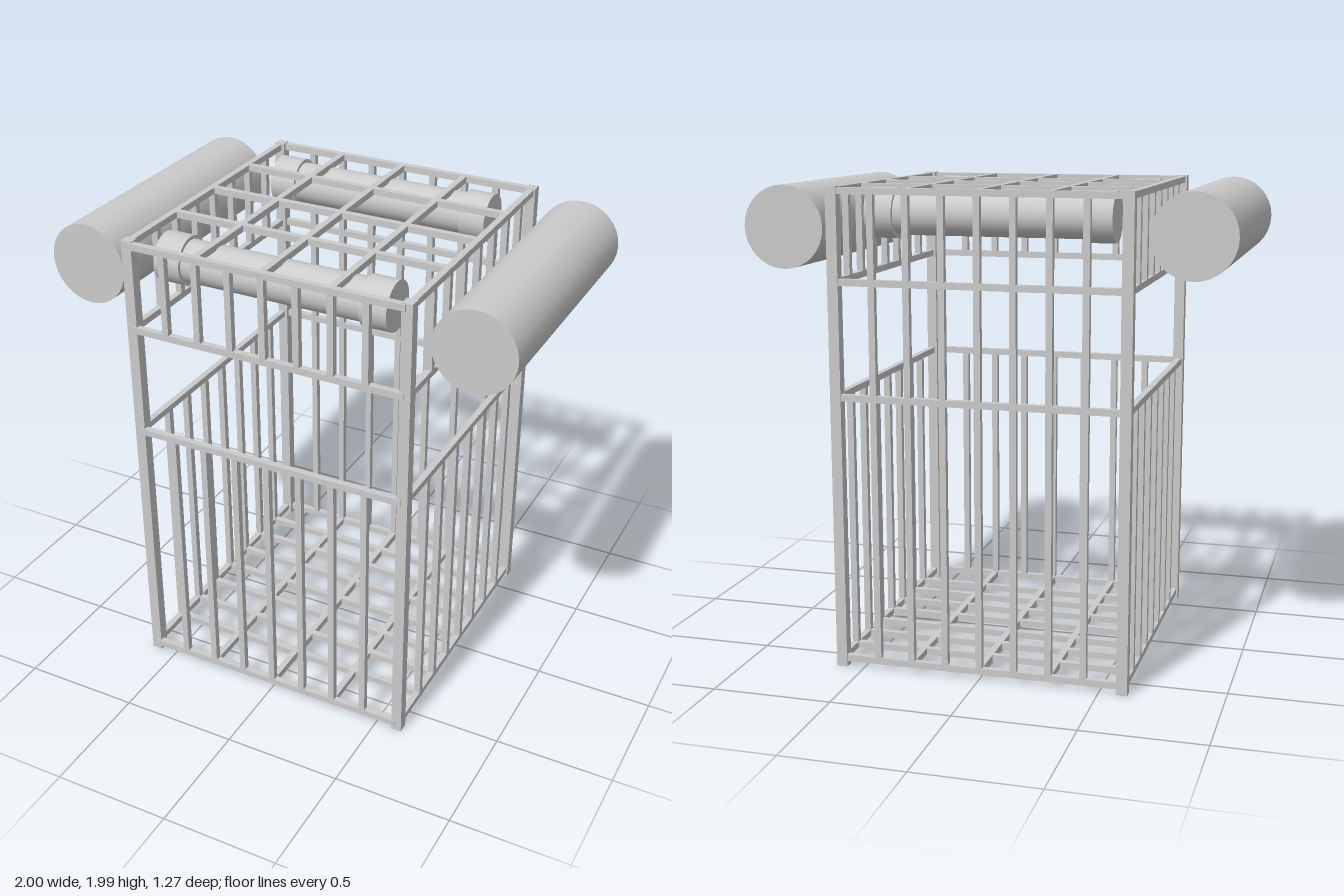
import * as THREE from 'three';

const material = new THREE.MeshStandardMaterial({ color: 0xcccccc });
const T = 0.027; // bar thickness
const LEVELS = [0.037, 1.145, 1.612, 1.973]; // heights of the horizontal rails
const SEVEN = [-3, -2, -1, 0, 1, 2, 3].map((i) => i * 0.145);
const THREE_BARS = [-0.29, 0, 0.29];
const Z_SHIFT = -0.024; // the side bars sit slightly towards the back

export function createModel() {
  const model = new THREE.Group();

  const group = (name) => {
    const g = new THREE.Group();
    g.name = name;
    model.add(g);
    return g;
  };
  const box = (parent, name, size, pos) => {
    const mesh = new THREE.Mesh(new THREE.BoxGeometry(...size), material);
    mesh.name = name;
    mesh.position.set(...pos);
    parent.add(mesh);
  };
  const cylinder = (parent, name, radius, length, pos, axis) => {
    const geometry = new THREE.CylinderGeometry(radius, radius, length, 32);
    if (axis === 'x') geometry.rotateZ(Math.PI / 2);
    else geometry.rotateX(Math.PI / 2);
    const mesh = new THREE.Mesh(geometry, material);
    mesh.name = name;
    mesh.position.set(...pos);
    parent.add(mesh);
  };
  // upright bar between two heights
  const upright = (parent, x, z, y0, y1) =>
    box(parent, 'uprightBar', [T, y1 - y0, T], [x, (y0 + y1) / 2, z]);

  // corner posts
  const posts = group('cornerPosts');
  for (const x of [-0.595, 0.595])
    for (const z of [-0.612, 0.606])
      box(posts, 'cornerPost', [0.045, 1.99, 0.045], [x, 0.995, z]);

  // front wall with a window, and closed back wall
  for (const [name, z, spans] of [
    ['frontWall', 0.621, [[0, 1], [2, 3]]],
    ['backWall', -0.617, [[0, 3]]],
  ]) {
    const wall = group(name);
    for (const y of LEVELS) box(wall, 'rail', [1.18, T, T], [0, y, z]);
    for (const x of SEVEN)
      for (const [a, b] of spans) upright(wall, x, z, LEVELS[a], LEVELS[b]);
  }

  // side walls, each with a window
  for (const [name, x] of [['leftWall', 0.598], ['rightWall', -0.598]]) {
    const wall = group(name);
    for (const y of LEVELS) box(wall, 'rail', [T, T, 1.2], [x, y, 0]);
    for (const z of SEVEN)
      for (const [a, b] of [[0, 1], [2, 3]])
        upright(wall, x, z + Z_SHIFT, LEVELS[a], LEVELS[b]);
  }

  // floor and roof grids
  for (const [name, y, crossBars] of [
    ['floorGrid', LEVELS[0], SEVEN],
    ['roofGrid', LEVELS[3], THREE_BARS],
  ]) {
    const grid = group(name);
    for (const x of THREE_BARS) box(grid, 'lengthBar', [T, T, 1.22], [x, y, 0]);
    for (const z of crossBars)
      box(grid, 'crossBar', [1.18, T, T], [0, y, z + Z_SHIFT]);
  }

  // collared rollers under the roof
  for (const [name, z] of [['frontRoller', 0.456], ['backRoller', -0.475]]) {
    const roller = group(name);
    cylinder(roller, 'tube', 0.087, 0.98, [-0.02, 1.88, z], 'x');
    for (const x of [-0.465, 0.423])
      cylinder(roller, 'collar', 0.101, 0.114, [x, 1.88, z], 'x');
  }

  // large floats along both sides
  cylinder(model, 'leftFloat', 0.169, 1.125, [0.831, 1.82, 0], 'z');
  cylinder(model, 'rightFloat', 0.169, 1.125, [-0.831, 1.82, 0], 'z');

  return model;
}
